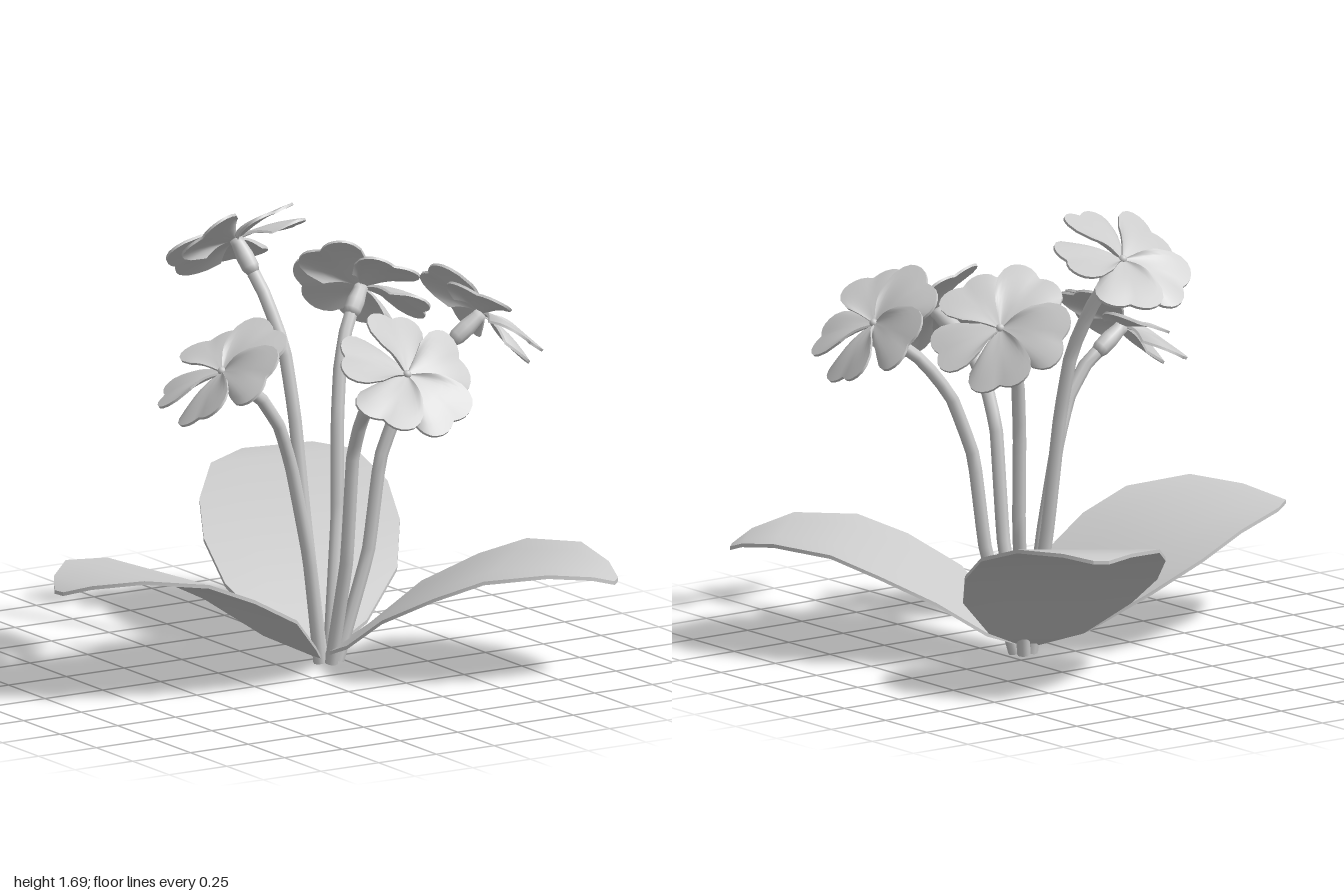
import * as THREE from 'three';

const material = new THREE.MeshStandardMaterial({ color: 0xcccccc });
const V = (p) => new THREE.Vector3(...p);
const UP = new THREE.Vector3(0, 1, 0);

function mesh(name, geometry) {
  const m = new THREE.Mesh(geometry, material);
  m.name = name;
  return m;
}

// Thin box whose vertices are moved by rule(u in -1..1, v in 0..1) -> [x, y, z]
function thinSheet(columns, rows, thickness, rule) {
  const g = new THREE.BoxGeometry(1, 1, 1, columns, 1, rows);
  const p = g.attributes.position;
  for (let i = 0; i < p.count; i++) {
    const [x, y, z] = rule(p.getX(i) * 2, p.getZ(i) + 0.5);
    p.setXYZ(i, x, y + p.getY(i) * thickness, z);
  }
  g.computeVertexNormals();
  return g;
}

// Linear lookup through [key, value] pairs
function lookup(table, t) {
  for (let i = 1; i < table.length; i++) {
    const [a, va] = table[i - 1], [b, vb] = table[i];
    if (t <= b) return va + (vb - va) * Math.max(0, (t - a) / (b - a));
  }
  return table[table.length - 1][1];
}

// Leaf rows: distance from base, height, half width
const leafRows = [
  [0, 0.03, 0.02], [0.12, 0.1, 0.18], [0.29, 0.24, 0.32], [0.5, 0.35, 0.365],
  [0.69, 0.43, 0.35], [0.92, 0.462, 0.27], [1.06, 0.44, 0.13], [1.12, 0.41, 0.03],
];
const leaves = [
  { name: 'leftLeaf', base: [0.12, 0, 0.095], dir: [-1, 0], length: 1, lift: 0, tilt: 0.02 },
  { name: 'backLeaf', base: [0.17, 0, 0.06], dir: [0.375, -0.927], length: 0.915, lift: 0.12, tilt: -0.02 },
  { name: 'frontLeaf', base: [0.17, 0, 0.08], dir: [0.705, 0.709], length: 0.972, lift: -0.04, tilt: 0 },
];

function makeLeaf({ name, base, dir, length, lift, tilt }) {
  const n = leafRows.length - 1;
  const leaf = mesh(name, thinSheet(4, n, 0.014, (u, v) => {
    const [s, y, w] = leafRows[Math.round(v * n)];
    return [u * w, y + lift * s * s + tilt * u * w / 0.36, s * length];
  }));
  leaf.position.set(...base);
  leaf.rotation.y = Math.atan2(dir[0], dir[1]);
  return leaf;
}

// Heart-shaped petal outline: radius over the half angle
const petalEdge = [[0, 0.238], [0.12, 0.25], [0.28, 0.261], [0.45, 0.262], [0.62, 0.251], [0.78, 0.225], [0.9, 0.188], [1, 0.13]];
const petalGeometry = thinSheet(16, 6, 0.01, (u, v) => {
  const r = 0.006 + v * lookup(petalEdge, Math.abs(u));
  const a = u * THREE.MathUtils.degToRad(42);
  // Each petal twists like a propeller blade and bulges slightly
  const h = 0.038 * u * v + 0.014 * Math.sin(Math.PI * v) - 0.003 * v * Math.cos(u * Math.PI);
  return [r * Math.sin(a), h, r * Math.cos(a)];
});

// Five overlapping petals round a small eye, facing along the normal
function makeBloom(center, normal, phase) {
  const bloom = new THREE.Group();
  bloom.name = 'bloom';
  for (let i = 0; i < 5; i++) {
    const petal = mesh('petal', petalGeometry);
    petal.rotation.y = THREE.MathUtils.degToRad(phase + 72 * i + 90);
    bloom.add(petal);
  }
  const eye = mesh('eye', new THREE.SphereGeometry(0.016, 10, 8));
  eye.position.y = 0.006;
  bloom.add(eye);
  const n = V(normal).normalize();
  const x = new THREE.Vector3(1, 0, 0).addScaledVector(n, -n.x).normalize();
  bloom.quaternion.setFromRotationMatrix(new THREE.Matrix4().makeBasis(x, n, x.clone().cross(n)));
  bloom.position.copy(center);
  return bloom;
}

// Calyx flaring from the stem end to the bloom
function makeCalyx(from, to) {
  const d = to.clone().sub(from), len = d.length();
  const profile = [[0, 0], [0.024, 0], [0.033, 0.18], [0.034, 0.5], [0.027, 0.85], [0.026, 1], [0, 1]]
    .map(([r, t]) => new THREE.Vector2(r, t * len));
  const calyx = mesh('calyx', new THREE.LatheGeometry(profile, 10));
  calyx.position.copy(from);
  calyx.quaternion.setFromUnitVectors(UP, d.normalize());
  return calyx;
}

const flowers = [
  { name: 'frontFlower', center: [0.18, 1.185, 0.612], normal: [0, 0.7, 0.7], phase: 8,
    stem: [[0.17, 0, 0.11], [0.18, 0.4, 0.2], [0.175, 0.8, 0.25], [0.17, 0.96, 0.32], [0.17, 1.08, 0.42], [0.17, 1.12, 0.48]] },
  { name: 'leftFlower', center: [-0.3, 1.155, 0.11], normal: [-0.58, 0.81, 0], phase: -8,
    stem: [[0.14, 0, 0.08], [0.08, 0.4, 0.1], [0, 0.75, 0.11], [-0.06, 0.92, 0.12], [-0.14, 1.04, 0.115], [-0.18, 1.07, 0.11]] },
  { name: 'backFlower', center: [0.035, 1.525, -0.33], normal: [-0.06, 0.82, -0.56], phase: -7,
    stem: [[0.16, 0, 0.06], [0.14, 0.5, -0.02], [0.125, 0.9, -0.07], [0.11, 1.15, -0.12], [0.08, 1.33, -0.2], [0.06, 1.41, -0.25]] },
  { name: 'backRightFlower', center: [0.505, 1.31, -0.213], normal: [0.6, 0.69, -0.41], phase: -15,
    stem: [[0.2, 0, 0.05], [0.29, 0.5, -0.04], [0.31, 0.85, -0.07], [0.34, 1.05, -0.1], [0.39, 1.17, -0.14], [0.43, 1.22, -0.17]] },
  { name: 'rightFlower', center: [0.73, 1.275, 0.255], normal: [0.7, 0.7, 0], phase: 8,
    stem: [[0.21, 0, 0.09], [0.33, 0.4, 0.11], [0.37, 0.75, 0.13], [0.45, 0.98, 0.16], [0.55, 1.12, 0.2], [0.62, 1.18, 0.23]] },
];

function makeFlower({ name, center, normal, phase, stem }) {
  const flower = new THREE.Group();
  flower.name = name;
  const points = stem.map(V), c = V(center);
  const path = new THREE.CatmullRomCurve3(points, false, 'catmullrom', 0.15);
  flower.add(mesh('stem', new THREE.TubeGeometry(path, 18, 0.025, 8)));
  // Flat end under the stem
  const foot = mesh('stemFoot', new THREE.CircleGeometry(0.025, 8));
  foot.rotation.x = Math.PI / 2;
  foot.position.copy(points[0]);
  flower.add(foot, makeCalyx(points[points.length - 1], c), makeBloom(c, normal, phase));
  return flower;
}

export function createModel() {
  const plant = new THREE.Group();
  plant.name = 'floweringPlant';
  leaves.forEach((l) => plant.add(makeLeaf(l)));
  flowers.forEach((f) => plant.add(makeFlower(f)));
  return plant;
}
